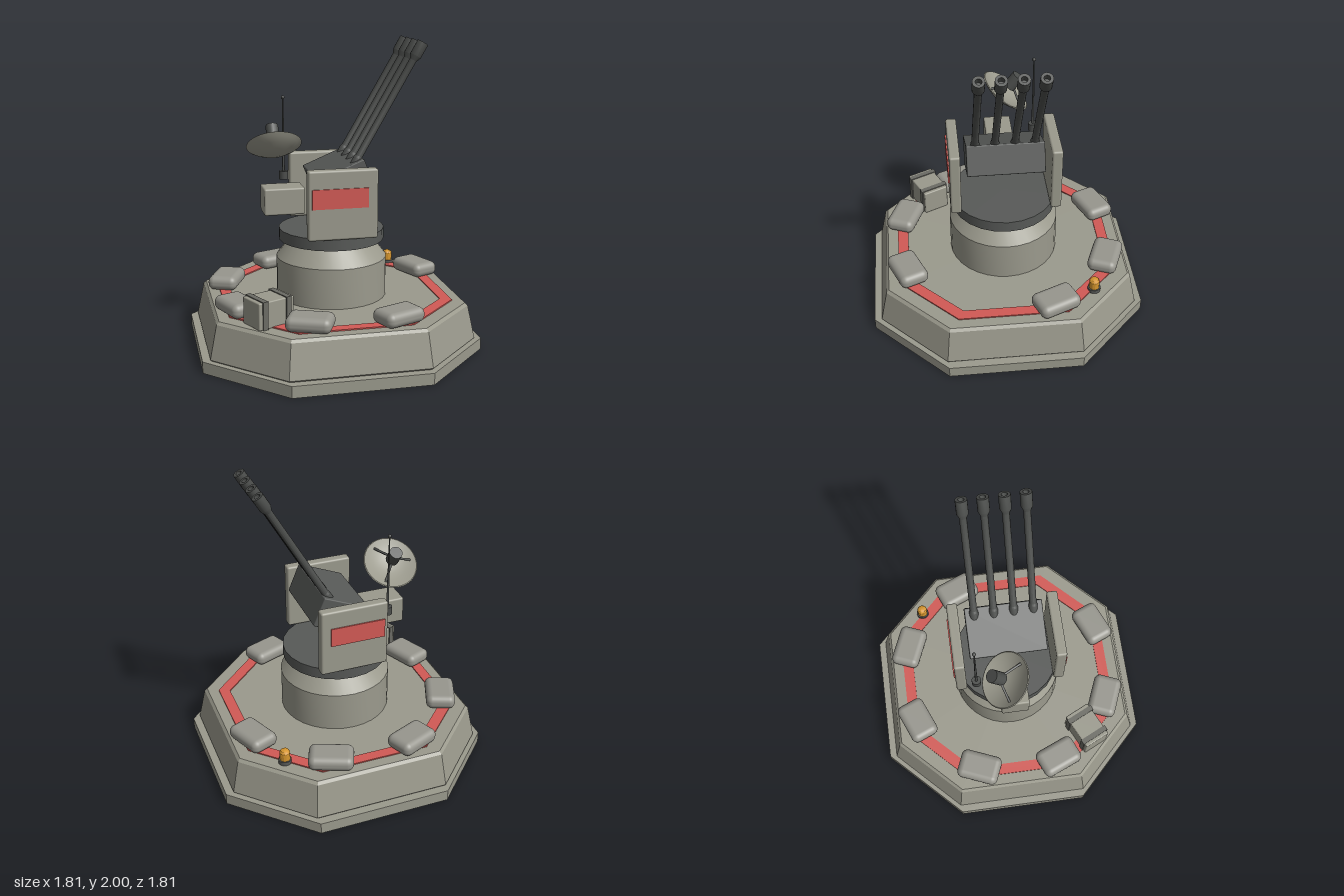
import * as THREE from 'three';
import { toCreasedNormals } from 'three/addons/utils/BufferGeometryUtils.js';
import { RoundedBoxGeometry } from 'three/addons/geometries/RoundedBoxGeometry.js';

const paint = (name, color) => {
  const m = new THREE.MeshStandardMaterial({ color });
  m.name = name;
  return m;
};

// Corners of a square with cut corners: half width a, half flat side b
const octagon = (a, b) => [[a, -b], [a, b], [b, a], [-b, a], [-a, b], [-a, -b], [-b, -a], [b, -a]];

function octagonPlate(a, b, height, hole) {
  const shape = new THREE.Shape(octagon(a, b).map(p => new THREE.Vector2(...p)));
  if (hole) shape.holes.push(new THREE.Path(octagon(...hole).map(p => new THREE.Vector2(...p))));
  return new THREE.ExtrudeGeometry(shape, { depth: height, bevelEnabled: false }).rotateX(-Math.PI / 2);
}

// Flat-faced solid through octagonal rings [a, b, y], closed on top
function octagonLoft(rings) {
  const pos = [];
  const loops = rings.map(([a, b, y]) => octagon(a, b).map(([x, z]) => [x, y, z]));
  for (let i = 0; i < 8; i++) {
    const j = (i + 1) % 8;
    for (let k = 0; k < loops.length - 1; k++) {
      const [p, q, r, s] = [loops[k][i], loops[k][j], loops[k + 1][j], loops[k + 1][i]];
      pos.push(...p, ...r, ...q, ...p, ...s, ...r);
    }
    const top = loops[loops.length - 1];
    pos.push(0, top[0][1], 0, ...top[j], ...top[i]);
  }
  const g = new THREE.BufferGeometry();
  g.setAttribute('position', new THREE.Float32BufferAttribute(pos, 3));
  g.computeVertexNormals();
  return g;
}

const lathe = (points, segments = 24) =>
  toCreasedNormals(new THREE.LatheGeometry(points.map(p => new THREE.Vector2(...p)), segments), 0.5);

export function createModel() {
  const model = new THREE.Group();
  model.name = 'gunTurret';

  const armor = paint('armorGrey', 0x9b9a8d);
  const sack = paint('sandbagGrey', 0x97968e);
  const dark = paint('darkMetal', 0x585a58);
  const gun = paint('gunMetal', 0x4b4d4b);
  const strapMat = paint('strapGrey', 0x6b6b64);
  const red = paint('markingRed', 0xd25a55);
  const amber = paint('beaconAmber', 0xd6962e);

  const add = (name, geometry, material, x = 0, y = 0, z = 0, parent = model) => {
    const mesh = new THREE.Mesh(geometry, material);
    mesh.name = name;
    mesh.position.set(x, y, z);
    parent.add(mesh);
    return mesh;
  };
  const group = (name, x, y, z) => {
    const g = new THREE.Group();
    g.name = name;
    g.position.set(x, y, z);
    model.add(g);
    return g;
  };

  // Octagonal base
  add('baseSlab', octagonPlate(0.905, 0.433, 0.075), armor);
  add('basePlatform', octagonLoft([
    [0.845, 0.43, 0.07], [0.857, 0.44, 0.085], [0.812, 0.42, 0.302], [0.795, 0.412, 0.32],
  ]), armor);
  add('redDeckStripe', octagonPlate(0.726, 0.355, 0.008, [0.655, 0.32]), red, 0, 0.32, 0);

  // Sandbags around the deck, with a gap at the front left
  const bag = new RoundedBoxGeometry(0.285, 0.095, 0.195, 4, 0.042);
  for (let i = 0; i < 8; i++) {
    if (i === 0) continue;
    const t = Math.PI / 8 + i * Math.PI / 4;
    const b = add('sandbag', bag, sack, 0.72 * Math.cos(t), 0.371, 0.72 * Math.sin(t));
    b.rotation.y = Math.PI / 2 - t;
  }

  // Strapped supply crate
  const crate = group('supplyCrate', -0.5, 0.32, 0.495);
  crate.rotation.y = 0.44;
  add('crateBody', new RoundedBoxGeometry(0.255, 0.172, 0.18, 2, 0.008), armor, 0, 0.086, 0, crate);
  for (const s of [-1, 1])
    add('crateStrap', new THREE.BoxGeometry(0.036, 0.178, 0.196), strapMat, s * 0.085, 0.089, 0, crate);

  // Warning beacon
  add('beaconBase', new THREE.CylinderGeometry(0.042, 0.042, 0.026, 16), dark, 0.54, 0.333, -0.545);
  add('beaconLamp', lathe([[0.034, 0], [0.034, 0.055], [0.026, 0.067], [0.012, 0.073], [0, 0.074]], 12),
    amber, 0.54, 0.344, -0.545);

  // Pedestal and turntable
  add('pedestal', lathe([[0.362, 0.32], [0.362, 0.582], [0.268, 0.70]], 32), armor);
  add('turntable', new THREE.CylinderGeometry(0.345, 0.345, 0.075, 24), dark, 0, 0.737, 0);

  // Armoured side plates with red panels
  for (const s of [-1, 1]) {
    add('sidePlate', new RoundedBoxGeometry(0.446, 0.445, 0.07, 3, 0.014), armor, 0, 0.998, s * 0.325);
    add('redSidePanel', new THREE.BoxGeometry(0.36, 0.125, 0.009), red, -0.02, 1.042, s * 0.3635);
  }

  // Tilted gun housing
  const housing = add('gunHousing', new RoundedBoxGeometry(0.325, 0.2, 0.5, 2, 0.008), dark, 0.046, 1.108, 0);
  housing.rotation.z = 0.395;

  // Four barrels with hollow muzzles
  const barrel = lathe([
    [0, 0], [0.029, 0], [0.029, 0.085], [0.023, 0.1], [0.023, 0.79], [0.037, 0.82],
    [0.037, 0.915], [0.019, 0.915], [0.019, 0.87], [0, 0.87],
  ], 16);
  for (const z of [-0.19, -0.064, 0.064, 0.19])
    add('gunBarrel', barrel, gun, 0.088, 1.185, z).rotation.z = -Math.PI / 6;

  // Equipment box on the rear
  add('equipmentBox', new RoundedBoxGeometry(0.265, 0.175, 0.18, 2, 0.012), armor, -0.322, 0.973, 0);

  // Radar dish facing up and away
  const radar = group('radarDish', -0.365, 1.318, -0.052);
  radar.rotation.x = -0.65;
  add('dishBowl', lathe([
    [0, -0.06], [0.06, -0.053], [0.115, -0.035], [0.155, -0.014], [0.18, 0.004],
    [0.174, 0.008], [0.15, -0.004], [0.11, -0.022], [0.06, -0.038], [0, -0.045],
  ], 32), armor, 0, 0, 0, radar);
  add('feedHorn', new THREE.CylinderGeometry(0.042, 0.042, 0.1, 16), gun, 0, 0.092, 0, radar);
  for (const t of [Math.PI, Math.PI / 3, -Math.PI / 3]) {
    const a = new THREE.Vector3(0.14 * Math.cos(t), -0.008, 0.14 * Math.sin(t));
    const b = new THREE.Vector3(0.02 * Math.cos(t), 0.06, 0.02 * Math.sin(t));
    const path = new THREE.LineCurve3(a, b);
    add('feedStrut', new THREE.TubeGeometry(path, 1, 0.008, 6), dark, 0, 0, 0, radar);
  }

  // Whip antenna
  const antenna = group('antenna', -0.275, 1.055, -0.228);
  add('antennaBase', new THREE.CylinderGeometry(0.03, 0.03, 0.055, 16), gun, 0, 0.0275, 0, antenna);
  add('antennaRod', new THREE.CylinderGeometry(0.004, 0.009, 0.5, 8), gun, 0, 0.3, 0, antenna);
  add('antennaTip', new THREE.SphereGeometry(0.012, 12, 8), gun, 0, 0.548, 0, antenna);

  return model;
}
